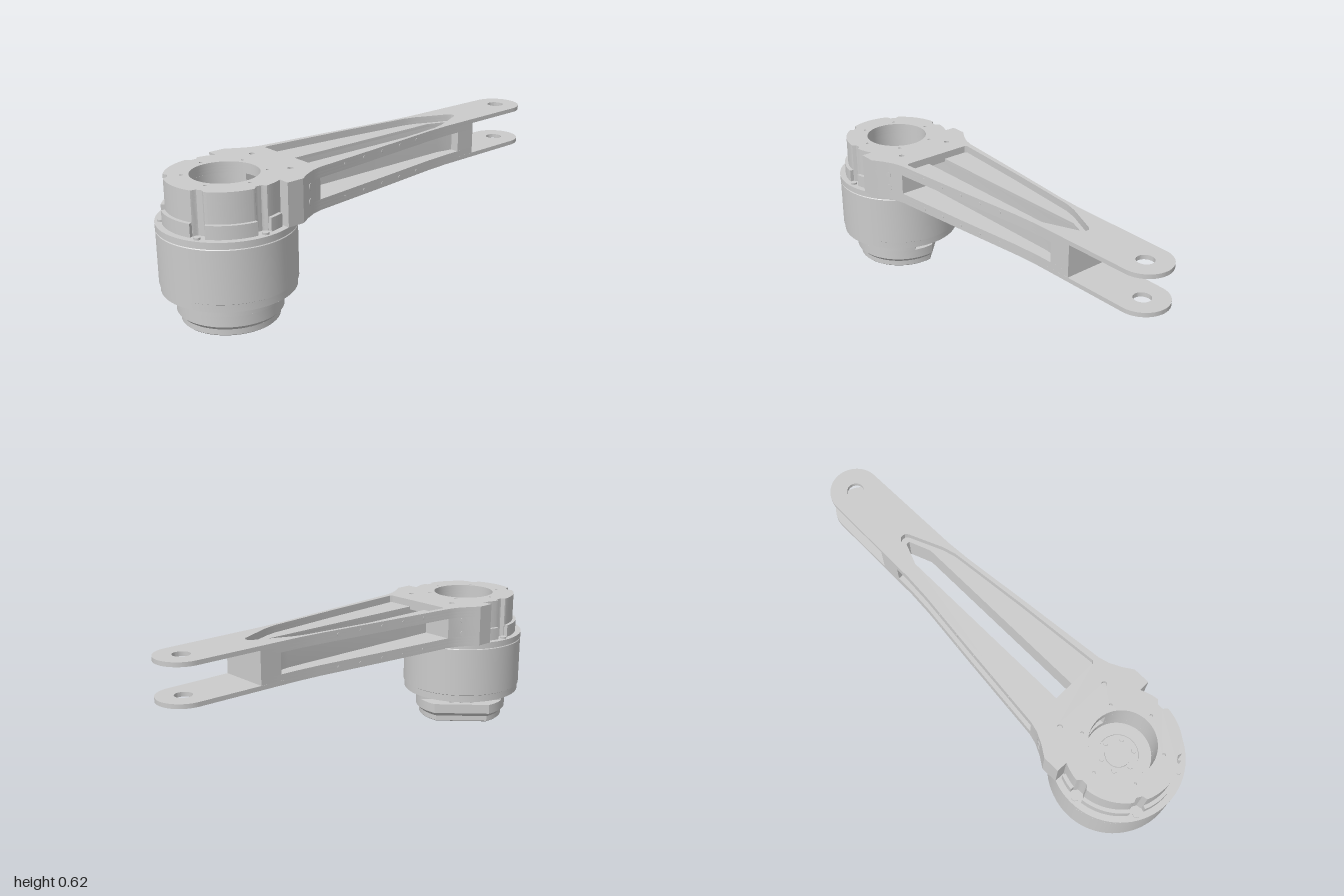
import * as THREE from 'three';
import { toCreasedNormals } from 'three/addons/utils/BufferGeometryUtils.js';

const MOTOR_Z = 0.715, MID_Y = 0.5285;
const material = new THREE.MeshStandardMaterial({ color: 0xcccccc });

function add(parent, name, geometry) {
  const mesh = new THREE.Mesh(geometry, material);
  mesh.name = name;
  parent.add(mesh);
  return mesh;
}

// Plan points are [x, z]; shapes store -z so that extrusion runs upwards.
const toVec = ([x, z]) => new THREE.Vector2(x, -z);
const mirrored = half => [...half, ...half.slice().reverse().map(([x, z]) => [-x, z])];

function arc(r, from, to, n = 32, cz = MOTOR_Z) {
  return Array.from({ length: n + 1 }, (_, i) => {
    const a = from + (to - from) * i / n;
    return [r * Math.sin(a), cz + r * Math.cos(a)];
  });
}
function circle(r, x, z, n = 40) {
  return arc(r, 0, Math.PI * 2 * (1 - 1 / n), n - 1, z).map(p => [p[0] + x, p[1]]);
}
function slab(points, holes, y0, y1, bottomScale = 1) {
  const shape = new THREE.Shape(points.map(toVec));
  shape.holes = holes.map(h => new THREE.Path(h.map(toVec)));
  const g = new THREE.ExtrudeGeometry(shape, { depth: y1 - y0, bevelEnabled: false });
  g.rotateX(-Math.PI / 2);
  const p = g.attributes.position;
  for (let i = 0; i < p.count; i++) {
    if (p.getY(i) < 1e-5) {
      p.setX(i, p.getX(i) * bottomScale);
      p.setZ(i, MOTOR_Z + (p.getZ(i) - MOTOR_Z) * bottomScale);
    }
  }
  g.translate(0, y0, 0);
  return toCreasedNormals(g, 0.5);
}
function lathe(points) {
  const g = new THREE.LatheGeometry(points.map(p => new THREE.Vector2(...p)), 72);
  g.translate(0, 0, MOTOR_Z);
  return toCreasedNormals(g, 0.5);
}

function buildMotor() {
  const motor = new THREE.Group();
  motor.name = 'motor';

  add(motor, 'motorBody', lathe([
    [0, 0.176], [0.277, 0.176], [0.277, 0.179], [0.282, 0.182], [0.282, 0.404],
    [0.279, 0.407], [0.279, 0.410], [0.283, 0.410], [0.283, 0.437], [0.125, 0.437],
    [0.125, 0.452], [0.085, 0.452], [0.085, 0.442], [0.055, 0.442], [0.055, 0.455], [0, 0.455]
  ]));

  // Lower flange with a ring of blind screw holes
  const flangeHoles = arc(0.25, 0, Math.PI * 5 / 3, 5).map(([x, z]) => circle(0.011, x, z, 16));
  add(motor, 'lowerFlange', slab(circle(0.277, 0, MOTOR_Z, 72), flangeHoles, 0.147, 0.177));

  // Gearbox, cut flat on the back right
  const cut = (r, d) => {
    const gap = Math.acos(d / r), mid = -Math.PI * 0.75;
    return arc(r, mid + gap, mid + Math.PI * 2 - gap, 60);
  };
  add(motor, 'gearboxNeck', slab(cut(0.219, 0.1), [], 0.1, 0.148));
  const slotHoles = [-0.05, 0, 0.05].map(t => circle(0.01, -0.1 + t * 0.7, MOTOR_Z - 0.1 - t * 0.7, 14));
  add(motor, 'gearboxRing', slab(cut(0.219, 0.175), slotHoles, 0.055, 0.1));
  add(motor, 'gearboxChamfer', slab(cut(0.219, 0.175), [], 0.038, 0.055, 0.925));
  add(motor, 'gearboxBase', slab(cut(0.2026, 0.162), [], 0.014, 0.038));
  add(motor, 'gearboxBaseEdge', slab(cut(0.2026, 0.162), [], 0.01, 0.014, 0.98));

  // Output disc
  const discHoles = arc(0.072, 0, Math.PI * 5 / 3, 5).map(([x, z]) => circle(0.012, x, z, 16));
  add(motor, 'outputDisc', slab(circle(0.102, 0, MOTOR_Z, 48), discHoles, 0, 0.011));

  // Screws on the upper flange and inside the bore
  const screws = (r, size, y, angles) => angles.forEach(deg => {
    const a = THREE.MathUtils.degToRad(deg);
    const s = add(motor, 'screw', new THREE.CylinderGeometry(size, size, 0.012, 16));
    s.position.set(r * Math.sin(a), y, MOTOR_Z + r * Math.cos(a));
  });
  screws(0.258, 0.014, 0.44, [-90, -30, 30, 90]);
  screws(0.07, 0.012, 0.444, [0, 60, 120, 180, 240, 300]);
  return motor;
}

function buildBracket() {
  const bracket = new THREE.Group();
  bracket.name = 'armBracket';

  // Hub edge, with shallow grooves beside the flange screws
  const hubEnd = 2.024;
  const hub = arc(1, 0, hubEnd, 90).map(([x, z]) => {
    const a = Math.atan2(x, z - MOTOR_Z) * 180 / Math.PI;
    const near = Math.min(Math.abs(a - 30), Math.abs(a - 90));
    const r = 0.24 - 0.018 * (1 - THREE.MathUtils.smoothstep(near, 3, 7));
    return [x * r, MOTOR_Z + (z - MOTOR_Z) * r];
  });
  const shoulder = [[0.265, 0.61], [0.265, 0.535], [0.235, 0.49], [0.21, 0.44], [0.198, 0.395]];
  const side = [[0.158, 0], [0.125, -0.3], [0.117, -0.42]];
  const tip = arc(0.111, Math.PI / 2, Math.PI, 20, -0.889);
  const fullOutline = mirrored([...hub, ...shoulder, ...side, ...tip]);
  const shortOutline = mirrored([...hub, ...shoulder, ...side, [0.114, -0.6]]);
  const coreOutline = mirrored([...hub, ...shoulder, [0.06, 0.395], [0.06, -0.42],
    [0.075, -0.5], [0.1155, -0.5], [0.114, -0.6]]);

  // Openings
  const bore = circle(0.14, 0, MOTOR_Z, 56);
  const pivot = circle(0.037, 0, -0.889, 32);
  const window = mirrored([[0.162, 0.395], [0.171, 0.386], [0.139, 0], [0.102, -0.36],
    [0.086, -0.42], [0.022, -0.57], [0.01, -0.583]]);
  const slot = mirrored([[0.045, 0.395], [0.045, -0.46], [0.008, -0.555]]);
  const boreEnd = Math.PI - Math.asin(0.045 / 0.14);
  const keyhole = mirrored([...arc(0.14, 0, boreEnd, 28), [0.045, -0.46], [0.008, -0.555]]);
  const dots = arc(0.168, Math.PI / 6, Math.PI * 11 / 6, 5).map(([x, z]) => circle(0.007, x, z, 12));
  dots.push(...[-0.13, 0.13].map(x => circle(0.012, x, 0.49, 16)));

  // Plates, window rims and ledges, repeated above and below the middle
  const pair = (name, outline, holes, y0, y1) => {
    add(bracket, name + 'Upper', slab(outline, holes, y0, y1));
    add(bracket, name + 'Lower', slab(outline, holes, 2 * MID_Y - y1, 2 * MID_Y - y0));
  };
  pair('plate', fullOutline, [window, bore, pivot, ...dots], 0.601, 0.62);
  pair('windowRim', shortOutline, [window, bore], 0.588, 0.601);
  pair('channelFlange', shortOutline, [slot, bore], 0.574, 0.588);
  add(bracket, 'armCore', slab(coreOutline, [keyhole], 0.483, 0.574));

  // Raised foot ring around the hub, open at the screws
  [[-23, 23], [37, 83], [-83, -37], [97, 112], [-112, -97]].forEach(([a, b]) => {
    const [f, t] = [a, b].map(THREE.MathUtils.degToRad);
    add(bracket, 'footRing', slab([...arc(0.256, f, t, 20), ...arc(0.215, t, f, 20)], [], 0.437, 0.493));
  });

  // Side fasteners
  [-1, 1].forEach(s => {
    const sideScrew = (size, x, y, z, turn) => {
      const g = new THREE.CylinderGeometry(size, size, 0.008, 14);
      g.rotateZ(Math.PI / 2);
      const m = add(bracket, 'sideScrew', g);
      m.position.set(s * x, y, z);
      m.rotation.y = s * turn;
    };
    [0.25, 0.135, 0.02, -0.095, -0.21].forEach(z => {
      const x = 0.158 + z * (z > 0 ? 0.101 : 0.11) - 0.002;
      [0.457, 0.6].forEach(y => sideScrew(0.007, x, y, z, 0.1));
    });
    [0.497, 0.56].forEach(y => sideScrew(0.014, 0.222, y, 0.468, 0.46));
  });
  return bracket;
}

export function createModel() {
  const model = new THREE.Group();
  model.name = 'motorArm';
  model.add(buildMotor(), buildBracket());
  return model;
}
